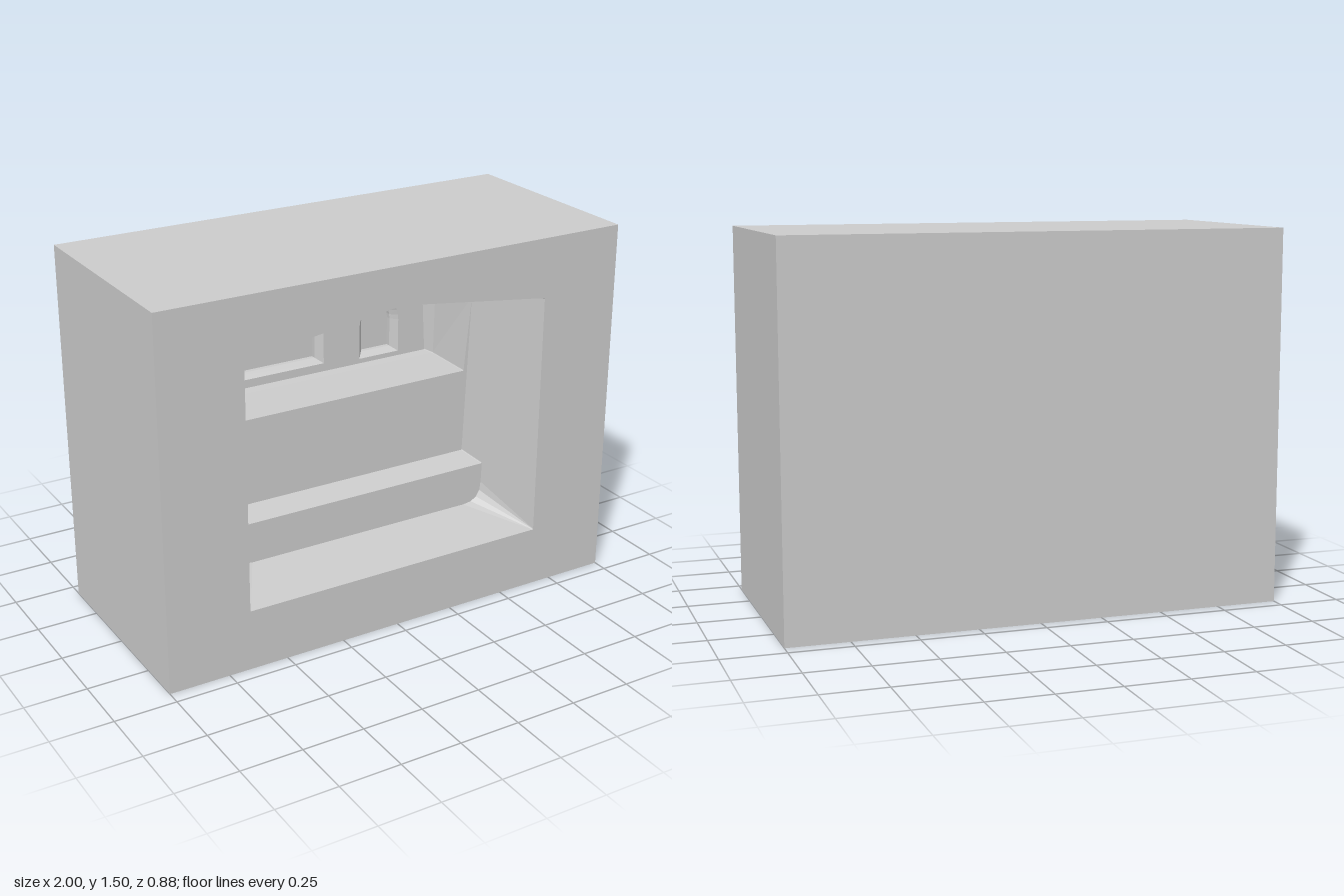
import * as THREE from 'three';

const FRONT = 0.44;
const material = new THREE.MeshStandardMaterial({ color: 0xcccccc, flatShading: true });
const V = (x, y) => new THREE.Vector2(x, y);

// Half outline from bottom centre-right up to the peak, mirrored about x = cx (counter-clockwise)
function mirrored(half, cx = 0) {
  const left = half.slice(0, -1).reverse().map(p => V(2 * cx - p.x, p.y));
  return [...half, ...left];
}

// Quadratic corner rounding: points from a to b around corner c
function corner(a, c, b, n = 4) {
  return new THREE.QuadraticBezierCurve(a, c, b).getPoints(n);
}

// Gabled room outline with rounded bottom and top corners
function roomRing({ floor, wb, rb, wt, eave, peak, rt }) {
  const slope = (peak - eave) / wt;
  return mirrored([
    ...corner(V(wb - rb, floor), V(wb, floor), V(wb, floor + rb)),
    ...corner(V(wt, eave - rt), V(wt, eave), V(wt - rt, eave + slope * rt)),
    V(0, peak),
  ]);
}

// Inward-facing skin through rings of equal point count, ordered front to back
function loft(rings) {
  const pos = [];
  for (let k = 0; k + 1 < rings.length; k++) {
    const A = rings[k], B = rings[k + 1], n = A.pts.length;
    for (let i = 0; i < n; i++) {
      const j = (i + 1) % n;
      const put = (R, q) => pos.push(R.pts[q].x, R.pts[q].y, FRONT - R.d);
      put(A, i); put(A, j); put(B, i);
      put(A, j); put(B, j); put(B, i);
    }
  }
  const g = new THREE.BufferGeometry();
  g.setAttribute('position', new THREE.Float32BufferAttribute(pos, 3));
  g.computeVertexNormals();
  return g;
}

// Flat panel facing +z at depth d, with optional holes
function panel(outline, d, holes = []) {
  const s = new THREE.Shape(outline);
  holes.forEach(h => s.holes.push(new THREE.Path(h)));
  return new THREE.ShapeGeometry(s).translate(0, 0, FRONT - d);
}

// Window outlines: broad rounded arch, or pointed arch
function windowOutline(cx, w, sill, spring, top, pointed) {
  const half = [V(cx + w, sill)];
  const n = 8;
  for (let i = 0; i <= n; i++) {
    const t = i / n, a = t * Math.PI / 2;
    half.push(pointed
      ? V(cx + w * (1 - Math.pow(t, 1.8)), spring + (top - spring) * t)
      : V(cx + w * Math.cos(a), spring + (top - spring) * Math.sin(a)));
  }
  return mirrored(half, cx);
}

export function createModel() {
  const group = new THREE.Group();
  const add = (geometry, name) => {
    const m = new THREE.Mesh(geometry, material);
    m.name = name;
    group.add(m);
  };

  // Room sections, front to back; floor jumps form the two steps
  const sections = [
    { d: 0, floor: 0.25, wb: 0.657, rb: 0.003, wt: 0.657, eave: 1.257, peak: 1.345, rt: 0.003 },
    { d: 0.28, floor: 0.285, wb: 0.585, rb: 0.085, wt: 0.612, eave: 1.225, peak: 1.294, rt: 0.045 },
    { d: 0.28, floor: 0.455, wb: 0.588, rb: 0.004, wt: 0.612, eave: 1.225, peak: 1.294, rt: 0.045 },
    { d: 0.4, floor: 0.475, wb: 0.567, rb: 0.004, wt: 0.595, eave: 1.21, peak: 1.272, rt: 0.06 },
    { d: 0.4, floor: 0.835, wb: 0.565, rb: 0.004, wt: 0.595, eave: 1.21, peak: 1.272, rt: 0.06 },
    { d: 0.63, floor: 0.838, wb: 0.565, rb: 0.004, wt: 0.57, eave: 1.18, peak: 1.23, rt: 0.085 },
    { d: 0.68, floor: 0.84, wb: 0.553, rb: 0.004, wt: 0.54, eave: 1.163, peak: 1.218, rt: 0.09 },
  ];
  const rings = sections.map(s => ({ d: s.d, pts: roomRing(s) }));
  const back = rings[rings.length - 1];

  // Outer block without its front face
  const box = new THREE.BoxGeometry(2, 1.5, 0.88).translate(0, 0.75, 0);
  const idx = Array.from(box.index.array);
  idx.splice(24, 6);
  box.setIndex(idx);
  box.clearGroups();
  add(box, 'outerBlock');

  // Front face with the gabled opening
  const frame = [V(-1, 0), V(1, 0), V(1, 1.5), V(-1, 1.5)];
  add(panel(frame, 0, [rings[0].pts]), 'frontFace');

  // Stepped interior
  add(loft(rings), 'steppedInterior');

  // Recessed windows: outer rim, bevelled inner rim, recessed pane
  const windows = [
    { name: 'wideWindow', outer: [-0.212, 0.27, 0.875, 1.04, 1.15, false], inner: [-0.212, 0.243, 0.895, 1.02, 1.125, false] },
    { name: 'pointedWindow', outer: [0.325, 0.095, 0.86, 1.0, 1.175, true], inner: [0.325, 0.07, 0.878, 1.0, 1.15, true] },
  ];
  const holes = [];
  for (const w of windows) {
    const outer = windowOutline(...w.outer), inner = windowOutline(...w.inner);
    holes.push(outer);
    add(loft([{ d: 0.68, pts: outer }, { d: 0.71, pts: inner }, { d: 0.73, pts: inner }]), w.name + 'Reveal');
    add(panel(inner, 0.73), w.name + 'Pane');
  }
  add(panel(back.pts, back.d, holes), 'backWall');

  return group;
}
